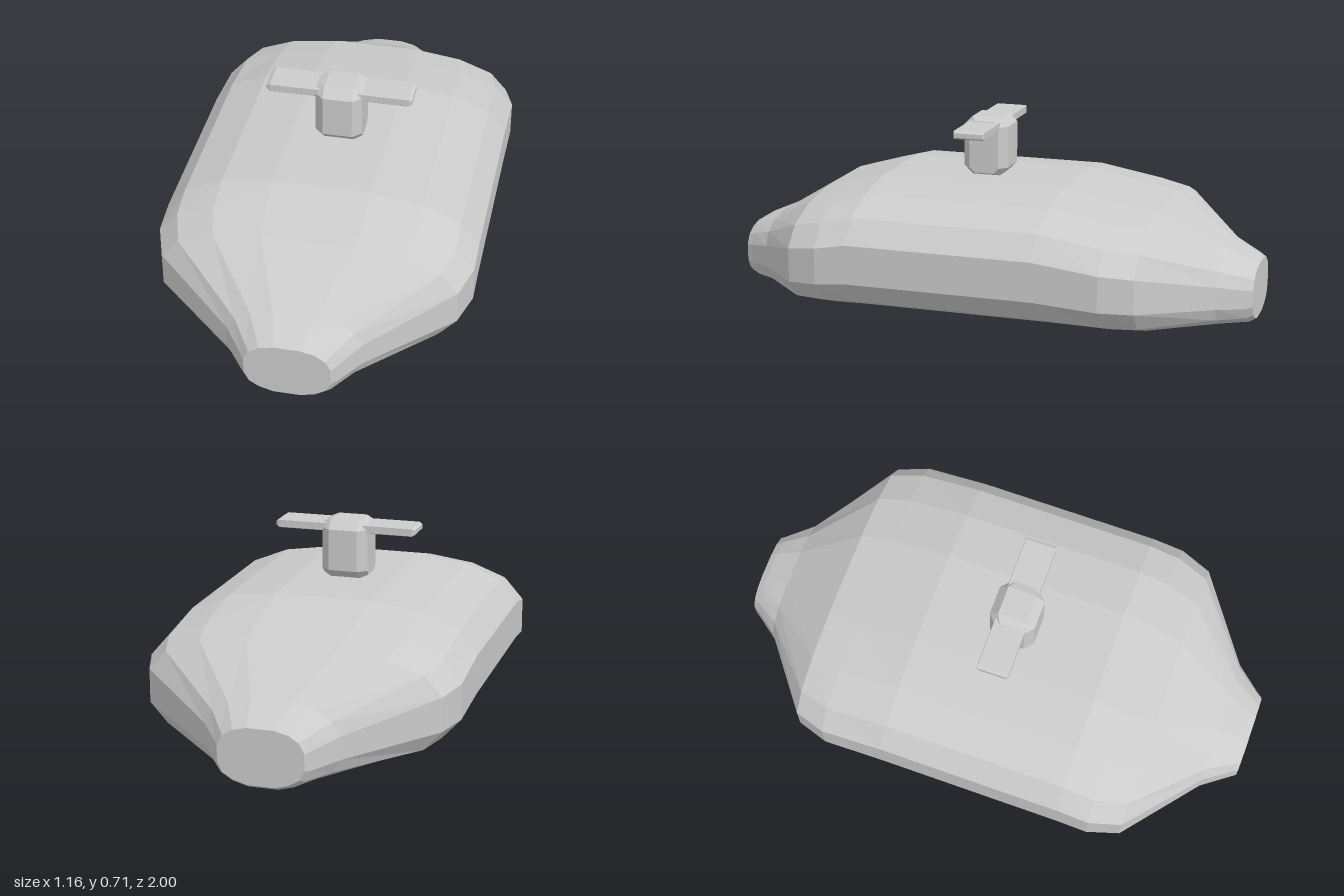
import * as THREE from 'three';

const material = new THREE.MeshStandardMaterial({ color: 0xcccccc, flatShading: true });

// Skins a row of equal-length rings (counter-clockwise seen from the last ring) and caps both ends.
function loft(name, rings) {
  const n = rings[0].length, last = rings.length - 1;
  const positions = rings.flat(2), index = [];
  for (let r = 0; r < last; r++) {
    for (let i = 0; i < n; i++) {
      const a = r * n + i, b = r * n + (i + 1) % n;
      index.push(a, b, b + n, a, b + n, a + n);
    }
  }
  for (let i = 1; i < n - 1; i++) {
    index.push(0, i + 1, i);
    index.push(last * n, last * n + i, last * n + i + 1);
  }
  const geometry = new THREE.BufferGeometry();
  geometry.setAttribute('position', new THREE.Float32BufferAttribute(positions, 3));
  geometry.setIndex(index);
  const flat = geometry.toNonIndexed();
  flat.computeVertexNormals();
  const mesh = new THREE.Mesh(flat, material);
  mesh.name = name;
  return mesh;
}

// Rectangle in the yz plane at x, with its corners cut by c.
function cutRect(x, y0, y1, z0, z1, c) {
  return [
    [x, y0 + c, z0], [x, y1 - c, z0], [x, y1, z0 + c], [x, y1, z1 - c],
    [x, y1 - c, z1], [x, y0 + c, z1], [x, y0, z1 - c], [x, y0, z0 + c],
  ];
}

export function createModel() {
  const group = new THREE.Group();
  group.name = 'valveBody';

  // Right half of the body section: x as a share of half width, y as a share of height
  const half = [[0.31, 0], [0.64, 0.068], [0.88, 0.178], [1, 0.35],
    [1, 0.65], [0.88, 0.825], [0.64, 0.942], [0.31, 1]];
  const section = [...half, ...half.map(([x, y]) => [-x, y]).reverse()];

  // Body stations: z, half width, bottom, top
  const stations = [
    [-1, 0.155, 0.02, 0.225], [-0.975, 0.172, 0.005, 0.24], [-0.88, 0.245, 0, 0.28],
    [-0.65, 0.54, 0, 0.42], [-0.53, 0.58, 0, 0.442], [-0.29, 0.58, 0, 0.486],
    [0.41, 0.58, 0, 0.486], [0.53, 0.58, 0, 0.453], [0.65, 0.54, 0, 0.42],
    [0.88, 0.245, 0, 0.28], [0.975, 0.172, 0.005, 0.24], [1, 0.155, 0.02, 0.225],
  ];
  group.add(loft('body', stations.map(([z, w, y0, y1]) =>
    section.map(([x, y]) => [x * w, y0 + (y1 - y0) * y, z]))));

  // Chamfered stem block
  group.add(loft('stem', [
    cutRect(-0.088, 0.497, 0.695, -0.012, 0.102, 0.02),
    cutRect(-0.055, 0.484, 0.707, -0.042, 0.132, 0.033),
    cutRect(0.055, 0.484, 0.707, -0.042, 0.132, 0.033),
    cutRect(0.088, 0.497, 0.695, -0.012, 0.102, 0.02),
  ]));

  // Flat handle bar with softened ends
  group.add(loft('handle', [
    cutRect(-0.272, 0.669, 0.686, -0.01, 0.099, 0.002),
    cutRect(-0.26, 0.662, 0.693, -0.015, 0.104, 0.002),
    cutRect(0.26, 0.662, 0.693, -0.015, 0.104, 0.002),
    cutRect(0.272, 0.669, 0.686, -0.01, 0.099, 0.002),
  ]));

  return group;
}
